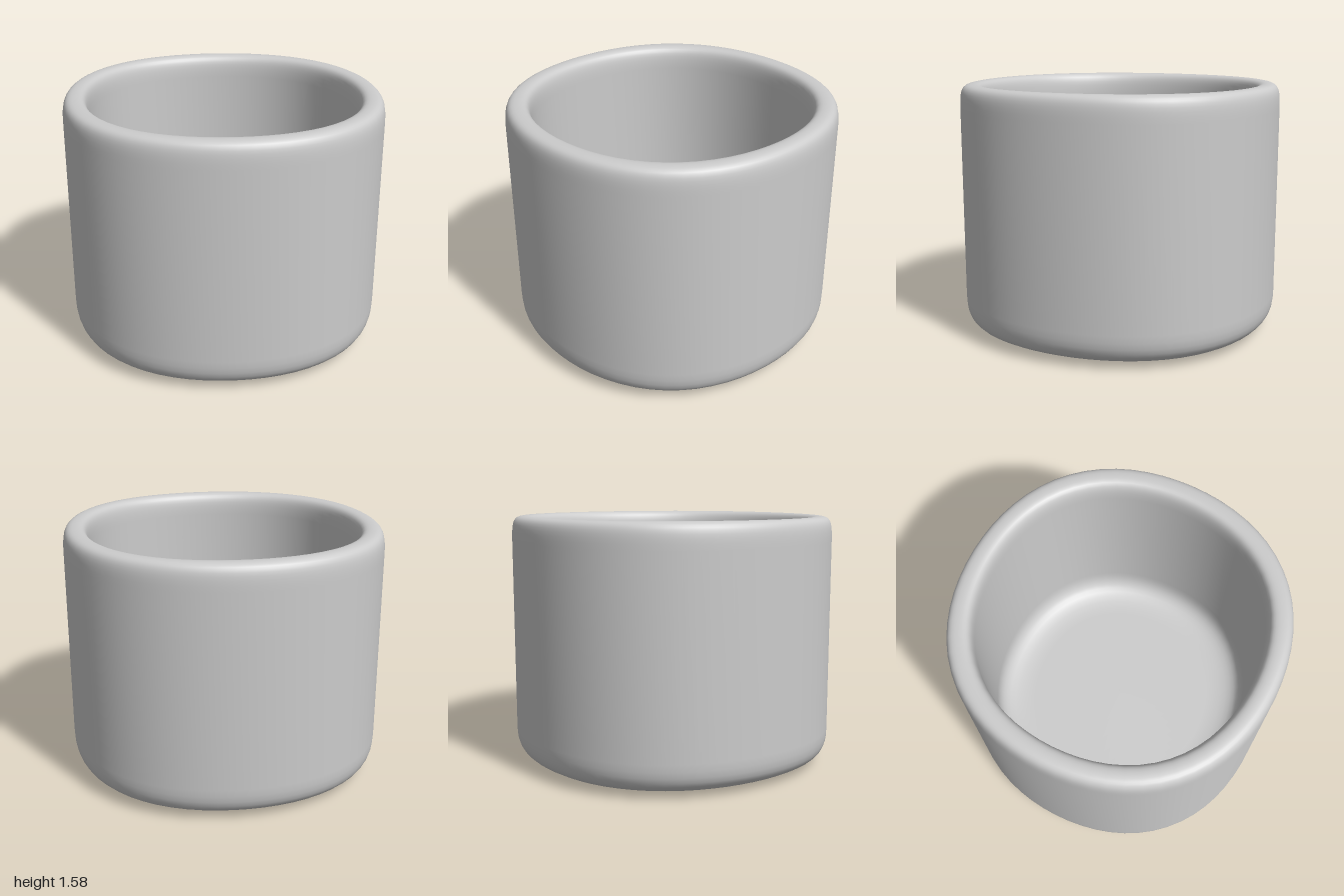
import * as THREE from 'three';
import { mergeVertices } from 'three/addons/utils/BufferGeometryUtils.js';

// Cup wall section, from the underside centre over the rim to the inner floor
function cupProfile() {
  const p = new THREE.Path();
  p.moveTo(0, 0);
  p.lineTo(0.7, 0.012);
  p.bezierCurveTo(0.95, 0.015, 1, 0.06, 1, 0.22);           // soft base edge
  p.lineTo(1, 1.42);
  p.bezierCurveTo(1, 1.54, 0.99, 1.575, 0.92, 1.575);       // outer rim edge
  p.bezierCurveTo(0.86, 1.575, 0.845, 1.55, 0.845, 1.43);   // inner rim edge
  p.lineTo(0.845, 0.36);
  p.bezierCurveTo(0.845, 0.21, 0.8, 0.165, 0.6, 0.16);      // soft floor edge
  p.lineTo(0, 0.16);
  return p.getPoints(10);
}

// Swell the round slightly toward the four diagonals
function squareOff(geometry, amount) {
  const pos = geometry.attributes.position;
  for (let i = 0; i < pos.count; i++) {
    const x = pos.getX(i), z = pos.getZ(i);
    const k = 1 + amount * (1 - Math.cos(4 * Math.atan2(z, x)));
    pos.setX(i, x * k);
    pos.setZ(i, z * k);
  }
}

export function createModel() {
  const group = new THREE.Group();
  group.name = 'cup';

  let geometry = new THREE.LatheGeometry(cupProfile(), 64);
  squareOff(geometry, 0.0143);

  // Weld the seam so the shading is smooth all the way round
  geometry.deleteAttribute('uv');
  geometry.deleteAttribute('normal');
  geometry = mergeVertices(geometry, 1e-4);
  geometry.computeVertexNormals();

  const body = new THREE.Mesh(geometry, new THREE.MeshStandardMaterial({ color: 0xcccccc }));
  body.name = 'cupBody';
  group.add(body);
  return group;
}
